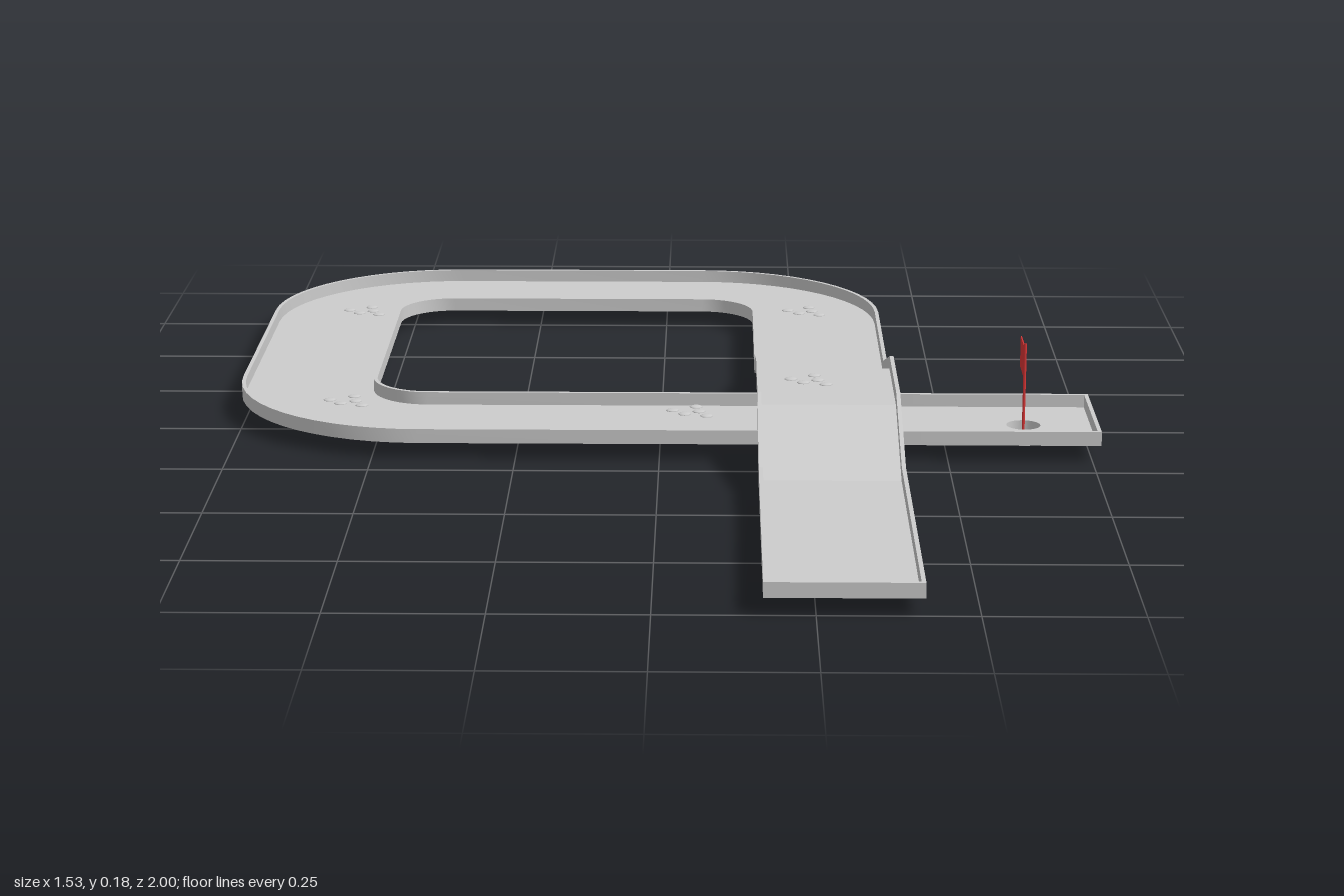
import * as THREE from 'three';
import { toCreasedNormals } from 'three/addons/utils/BufferGeometryUtils.js';

const HALF = 0.123, WALL = 0.007, WALL_H = 0.025, BASE = 0.028, FLOOR_T = 0.002;
const R = 0.2225; // centre line radius of the bends
const LANE_X = 0.2925, LANE_Z = 0.0575, END_X = 0.765, HOLE_X = 0.64;

// Centre line stations: position plus outward (right hand) direction
function lanePath() {
  const path = [];
  const straight = [[1, 0], [0.4, 0], [0.18, 0.07], [-0.06, 0.07], [-0.29, 0]];
  for (const [z, rise] of straight) path.push({ x: LANE_X, y: BASE + rise, z, nx: 1, nz: 0 });
  const bends = [[0.07, -0.655], [-0.42, -0.655], [-0.42, -0.165]];
  bends.forEach(([cx, cz], k) => {
    for (let i = 0; i <= 14; i++) {
      const a = -(k + i / 14) * Math.PI / 2;
      const nx = Math.cos(a), nz = Math.sin(a);
      path.push({ x: cx + R * nx, y: BASE, z: cz + R * nz, nx, nz });
    }
  });
  return path;
}

// Sweep a rectangle (side offsets a0..a1, heights h0..h1) along the path
function sweep(path, a0, a1, h0, h1) {
  const section = [[a0, h0], [a1, h0], [a1, h1], [a0, h1]];
  const pos = [], index = [];
  for (const p of path)
    for (const [a, h] of section) pos.push(p.x + p.nx * a, p.y + h, p.z + p.nz * a);
  const last = path.length - 1;
  for (let i = 0; i < last; i++)
    for (let j = 0; j < 4; j++) {
      const a = i * 4 + j, b = i * 4 + (j + 1) % 4;
      index.push(a, a + 4, b, b, a + 4, b + 4);
    }
  const e = last * 4;
  index.push(0, 1, 2, 0, 2, 3, e, e + 2, e + 1, e, e + 3, e + 2);
  const geo = new THREE.BufferGeometry();
  geo.setAttribute('position', new THREE.Float32BufferAttribute(pos, 3));
  geo.setIndex(index);
  return toCreasedNormals(geo, 0.2);
}

export function createModel() {
  const group = new THREE.Group();
  const grey = new THREE.MeshStandardMaterial({ color: 0xcccccc, side: THREE.DoubleSide });
  grey.name = 'course grey';
  const red = new THREE.MeshStandardMaterial({ color: 0xd93636, side: THREE.DoubleSide });
  red.name = 'flag red';

  const add = (name, geo, mat, x = 0, y = 0, z = 0) => {
    const mesh = new THREE.Mesh(geo, mat);
    mesh.name = name;
    mesh.position.set(x, y, z);
    group.add(mesh);
    return mesh;
  };

  // Looping lane with its bridge
  const path = lanePath();
  const stop = (x) => ({ x, y: BASE, z: LANE_Z, nx: 0, nz: 1 });
  const split = 0.5;
  add('laneFloor', sweep([...path, stop(split)], -HALF, HALF, 0, FLOOR_T), grey);
  const full = [...path, stop(END_X)];
  add('outerWall', sweep(full, HALF - WALL, HALF, 0, WALL_H), grey);
  add('innerWall', sweep(full, -HALF, -HALF + WALL, 0, WALL_H), grey);

  // Floor around the hole
  const green = new THREE.Shape();
  green.moveTo(split, -LANE_Z - HALF);
  green.lineTo(END_X, -LANE_Z - HALF);
  green.lineTo(END_X, -LANE_Z + HALF);
  green.lineTo(split, -LANE_Z + HALF);
  green.closePath();
  green.holes.push(new THREE.Path().absarc(HOLE_X, -LANE_Z, 0.03, 0, Math.PI * 2, true));
  const greenGeo = new THREE.ExtrudeGeometry(green, { depth: FLOOR_T, bevelEnabled: false, curveSegments: 16 });
  add('holeFloor', greenGeo.rotateX(-Math.PI / 2), grey, 0, BASE, 0);

  // Walls closing both ends
  const wallY = BASE + WALL_H / 2;
  add('startWall', new THREE.BoxGeometry(HALF * 2, WALL_H, WALL), grey, LANE_X, wallY, 1 - WALL / 2);
  add('endWall', new THREE.BoxGeometry(WALL, WALL_H, HALF * 2), grey, END_X - WALL / 2, wallY, LANE_Z);

  // Cup below the hole
  const cup = new THREE.CylinderGeometry(0.03, 0.03, BASE + FLOOR_T, 32, 1, true);
  add('cupWall', cup, grey, HOLE_X, (BASE + FLOOR_T) / 2, LANE_Z);
  add('cupBottom', new THREE.CircleGeometry(0.03, 32).rotateX(-Math.PI / 2), grey, HOLE_X, 0, LANE_Z);

  // Flag
  add('flagPole', new THREE.CylinderGeometry(0.0025, 0.0025, 0.178, 8), red, HOLE_X, 0.089, LANE_Z);
  add('flag', new THREE.BoxGeometry(0.002, 0.055, 0.085), red, HOLE_X, 0.1415, LANE_Z - 0.0445);

  // Faint pebbly bumps in the lane surface
  const bumps = [[-0.59, -0.74, 0], [0.28, -0.75, 0], [-0.56, -0.08, 0], [0.06, -0.02, 0], [0.27, 0.02, 0.07]];
  const bump = new THREE.SphereGeometry(0.012, 8, 3, 0, Math.PI * 2, 0, Math.PI / 2).scale(1, 0.25, 1);
  for (const [x, z, rise] of bumps)
    for (let i = 0; i < 5; i++) {
      const a = i * 2.4, r = 0.016 * Math.sqrt(i) + 0.008;
      add('surfaceBump', bump, grey, x + r * Math.cos(a), BASE + FLOOR_T + rise, z + r * Math.sin(a));
    }
  return group;
}
